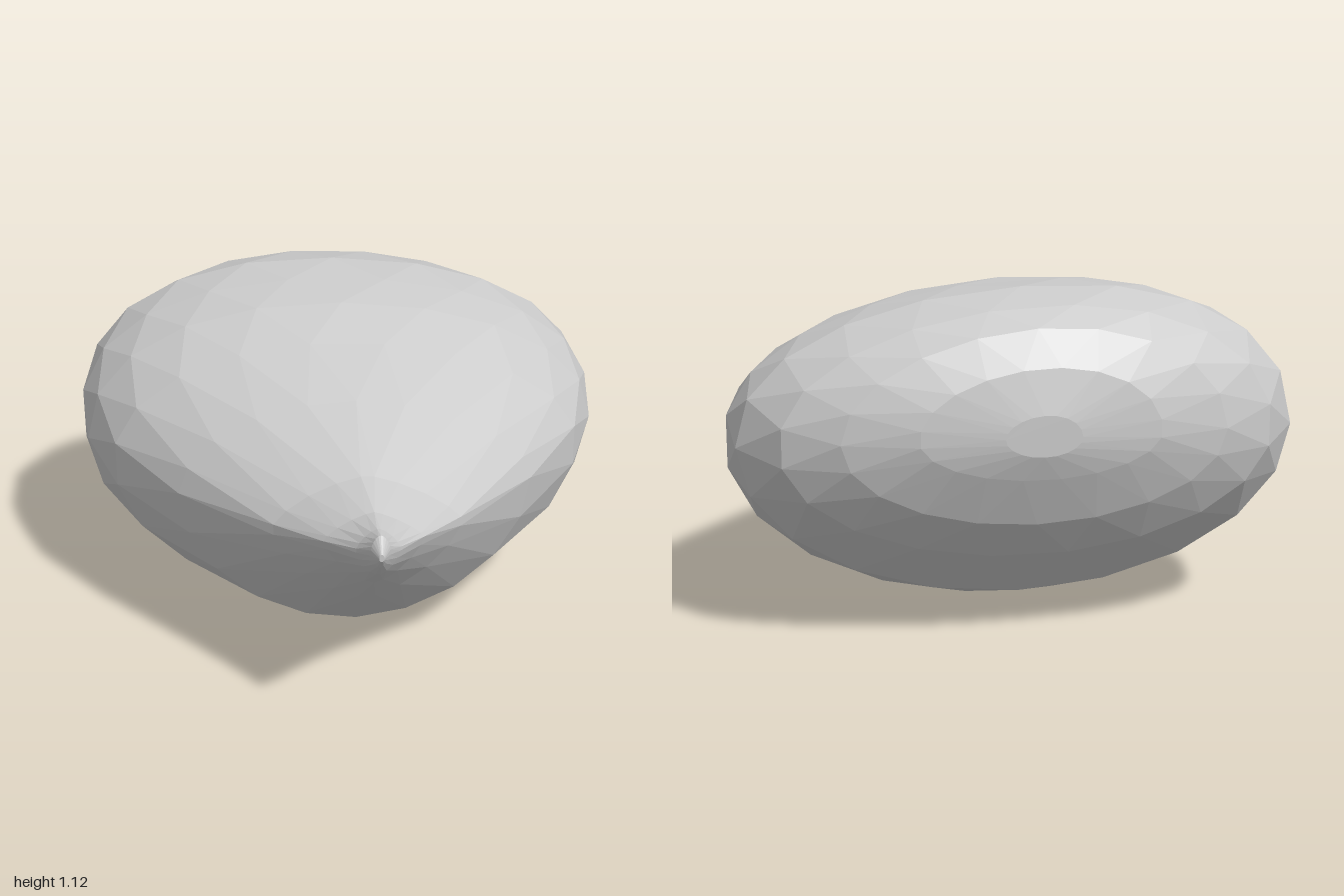
import * as THREE from 'three';

// Cross-sections from back to tip: z, half width, bottom y, widest y, top y, upper exponent, lower exponent
const SECTIONS = [
  [-1.0, 0.12, 0.66, 0.72, 0.79, 2, 2],
  [-0.97, 0.38, 0.58, 0.72, 0.93, 2, 2],
  [-0.9, 0.61, 0.42, 0.7, 1.04, 2, 2],
  [-0.8, 0.79, 0.29, 0.67, 1.09, 2.1, 2],
  [-0.63, 0.91, 0.12, 0.64, 1.125, 2.2, 2],
  [-0.45, 0.935, 0.06, 0.62, 1.115, 2.2, 2],
  [-0.27, 0.91, 0.01, 0.61, 1.095, 2.1, 2],
  [-0.05, 0.82, 0.05, 0.62, 1.035, 2, 2],
  [0.25, 0.6, 0.12, 0.64, 0.955, 1.8, 1.9],
  [0.6, 0.31, 0.41, 0.68, 0.855, 1.4, 1.5],
  [0.79, 0.16, 0.57, 0.73, 0.825, 1.3, 1.4],
  [0.91, 0.07, 0.67, 0.76, 0.832, 1.4, 1.6],
  [0.97, 0.03, 0.73, 0.79, 0.84, 1.7, 2],
  [1.0, 0.008, 0.765, 0.775, 0.79, 2, 2],
];
const SIDES = 20;

const power = (v, n) => Math.sign(v) * Math.pow(Math.abs(v), 2 / n);

// Flat-faceted skin: neighbouring rings are turned by half a step to give triangular facets
function pebbleGeometry() {
  const pos = [];
  const index = [];
  SECTIONS.forEach(([z, w, low, mid, high, nTop, nLow], k) => {
    for (let i = 0; i < SIDES; i++) {
      const a = ((i + (k % 2) / 2) / SIDES) * Math.PI * 2;
      const s = Math.sin(a);
      const n = s > 0 ? nTop : nLow;
      const x = w * power(Math.cos(a), n);
      const y = mid + (s > 0 ? high - mid : mid - low) * power(s, n);
      // The upper side leans gently down towards +x
      pos.push(x, y - 0.045 * x * Math.max(0, s), z);
    }
  });
  for (let k = 0; k < SECTIONS.length - 1; k++) {
    for (let i = 0; i < SIDES; i++) {
      const j = (i + 1) % SIDES;
      const a = k * SIDES + i, b = k * SIDES + j;
      const c = a + SIDES, d = b + SIDES;
      if (k % 2) index.push(a, d, c, a, b, d);
      else index.push(a, b, c, b, d, c);
    }
  }
  // End caps
  const last = (SECTIONS.length - 1) * SIDES;
  for (let i = 1; i < SIDES - 1; i++) {
    index.push(0, i + 1, i, last, last + i, last + i + 1);
  }
  const geo = new THREE.BufferGeometry();
  geo.setAttribute('position', new THREE.Float32BufferAttribute(pos, 3));
  geo.setIndex(index);
  const flat = geo.toNonIndexed();
  flat.computeVertexNormals();
  return flat;
}

export function createModel() {
  const group = new THREE.Group();
  group.name = 'pointedPebble';
  const body = new THREE.Mesh(
    pebbleGeometry(),
    new THREE.MeshStandardMaterial({ color: 0xcccccc, flatShading: true })
  );
  body.name = 'body';
  group.add(body);
  return group;
}
